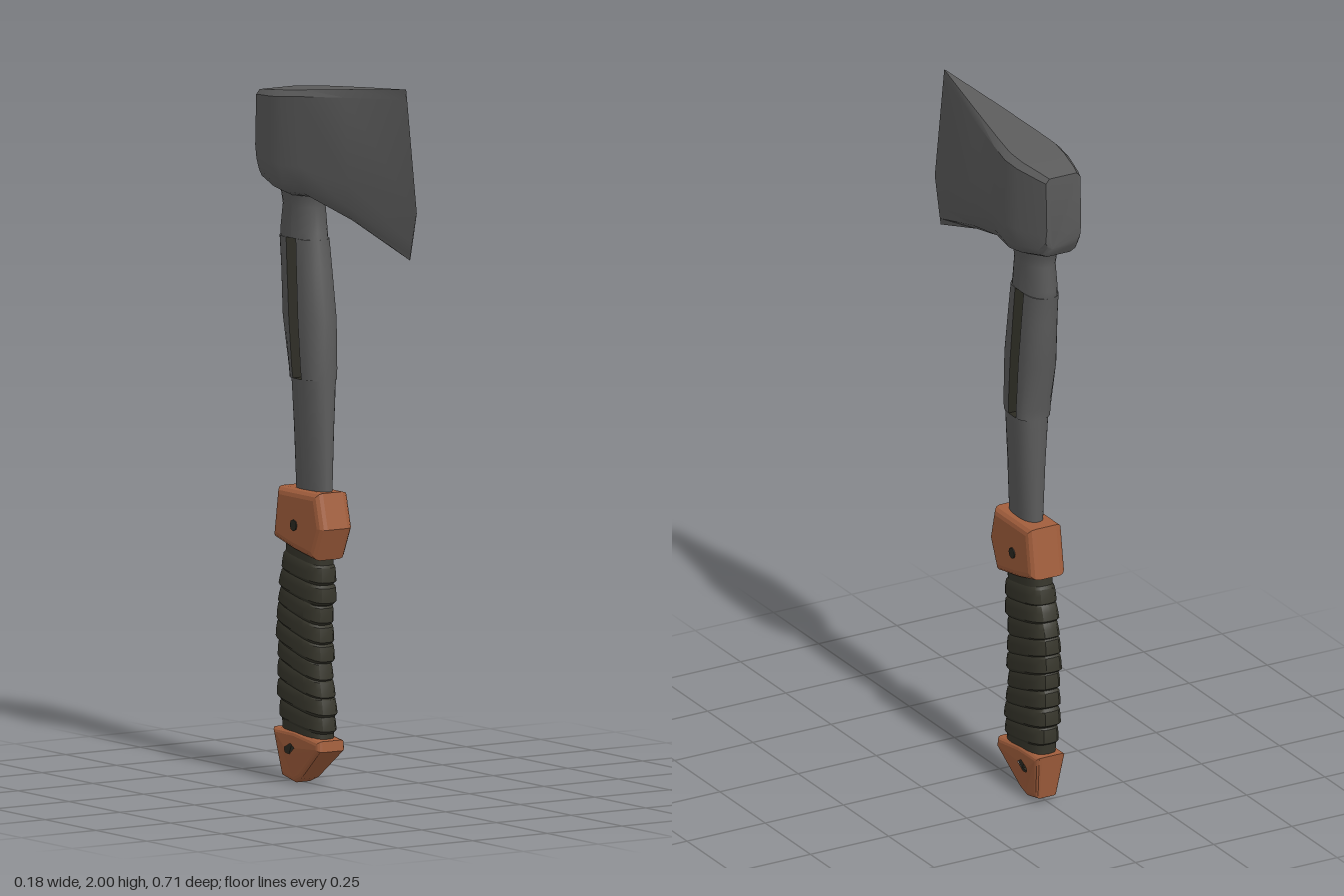
import * as THREE from 'three';
import { toCreasedNormals } from 'three/addons/utils/BufferGeometryUtils.js';

const mat = (name, color, side = THREE.FrontSide) => {
  const m = new THREE.MeshStandardMaterial({ color, side });
  m.name = name;
  return m;
};

// Piecewise-linear lookup in rows [key, a, b, ...]
function sample(rows, k) {
  let i = 0;
  while (i < rows.length - 2 && k > rows[i + 1][0]) i++;
  const [p, q] = [rows[i], rows[i + 1]];
  const t = THREE.MathUtils.clamp((k - p[0]) / (q[0] - p[0]), 0, 1);
  return p.slice(1).map((v, j) => v + (q[j + 1] - v) * t);
}

// Skin through cross-sections; closed rings may be capped
function loft(rings, { closed = true, caps = true, crease = 0.7 } = {}) {
  const n = rings[0].length, pos = [], idx = [];
  rings.forEach(r => r.forEach(p => pos.push(...p)));
  for (let i = 0; i < rings.length - 1; i++) {
    for (let j = 0; j < (closed ? n : n - 1); j++) {
      const a = i * n + j, b = i * n + (j + 1) % n;
      idx.push(a, b, b + n, a, b + n, a + n);
    }
  }
  if (closed && caps) {
    const last = (rings.length - 1) * n;
    for (let j = 1; j < n - 1; j++) idx.push(0, j + 1, j, last, last + j, last + j + 1);
  }
  const g = new THREE.BufferGeometry();
  g.setAttribute('position', new THREE.Float32BufferAttribute(pos, 3));
  g.setIndex(idx);
  return toCreasedNormals(g, crease);
}

// Side outline in (z, y), extruded across x with a soft bevel
function slab(outline, half, bevel, hole) {
  const toShape = pts => pts.map(([z, y]) => new THREE.Vector2(-z, y));
  const s = new THREE.Shape(toShape(outline));
  if (hole) s.holes.push(new THREE.Path(toShape(hole)));
  const g = new THREE.ExtrudeGeometry(s, {
    depth: 2 * (half - bevel), bevelEnabled: bevel > 0, bevelSize: bevel,
    bevelThickness: bevel, bevelOffset: -bevel, bevelSegments: 3,
  });
  g.translate(0, 0, bevel - half).rotateY(Math.PI / 2);
  return g;
}

export function createModel() {
  const group = new THREE.Group();
  const steel = mat('steel', 0x5c5c5c);
  const brown = mat('brown', 0xa35f3d);
  const wrap = mat('dark wrap', 0x36352b);
  const dark = mat('dark lining', 0x2b2a22, THREE.DoubleSide);
  const add = (name, g, m) => {
    const mesh = new THREE.Mesh(g, m);
    mesh.name = name;
    group.add(mesh);
    return mesh;
  };

  // Axe head: sections from poll to cutting edge
  // [z bottom, z middle, z top, y bottom, y top, half width]
  const headRows = [
    [-0.345, -0.355, -0.35, 1.71, 1.926, 0.055],
    [-0.325, -0.325, -0.325, 1.68, 1.931, 0.063],
    [-0.24, -0.24, -0.24, 1.66, 1.94, 0.083],
    [-0.18, -0.18, -0.18, 1.652, 1.947, 0.088],
    [-0.1, -0.1, -0.1, 1.655, 1.956, 0.076],
    [0.08, 0.09, 0.07, 1.61, 1.975, 0.046],
    [0.325, 0.357, 0.305, 1.525, 2.0, 0.001],
  ];
  const headSide = [[0.58, 0], [0.85, 0.035], [1, 0.11], [1, 0.284], [1, 0.94], [0.8, 1]];
  add('axeHead', loft(headRows.map(([zb, zm, zt, yb, yt, w]) => {
    const half = headSide.map(([f, v]) => {
      const z = v < 0.284 ? zb + (zm - zb) * v / 0.284 : zm + (zt - zm) * (v - 0.284) / 0.716;
      return [f * w, yb + (yt - yb) * v, z];
    });
    return [...half, ...half.map(([x, y, z]) => [-x, y, z]).reverse()];
  }), { crease: 0.6 }), steel);

  // Shaft: front and rear rails that part around the slot
  // [y, front z, back z, half width]
  const shaftRows = [
    [0.8, -0.07, -0.215, 0.03], [1.0, -0.07, -0.217, 0.041], [1.17, -0.07, -0.222, 0.052],
    [1.31, -0.072, -0.262, 0.053], [1.45, -0.093, -0.272, 0.05], [1.55, -0.108, -0.286, 0.047],
    [1.62, -0.12, -0.272, 0.046], [1.65, -0.112, -0.278, 0.049], [1.7, -0.09, -0.3, 0.058],
  ];
  const slotLow = 1.14, slotHigh = 1.53;
  const slot = y => sample([[slotLow, -0.135, -0.177], [slotHigh, -0.167, -0.214]], y);
  const levels = [[0.8, 0], [1.0, 0], [slotLow, 0], [slotLow, 1], [1.17, 1], [1.31, 1],
    [1.45, 1], [slotHigh, 1], [slotHigh, 0], [1.55, 0], [1.62, 0], [1.65, 0], [1.7, 0]];
  for (const rear of [0, 1]) {
    const rings = levels.map(([y, open]) => {
      const [f, b, w] = sample(shaftRows, y);
      const s = slot(y);
      const inner = open ? s[rear] : (s[0] + s[1]) / 2;
      const outer = rear ? b : f;
      return Array.from({ length: 13 }, (_, k) => {
        const a = (k / 12 - 0.5) * Math.PI * (rear ? -1 : 1);
        const c = Math.pow(Math.max(Math.cos(a), 0), 0.8);
        return [-w * Math.sin(a) * (rear ? -1 : 1) * (rear ? -1 : 1), y, inner + (outer - inner) * c];
      });
    });
    // Run each rail so that its skin faces outwards
    rings.forEach(r => { if ((r[0][0] < 0) !== (rear === 0)) r.reverse(); });
    add(rear ? 'shaftRearRail' : 'shaftFrontRail', loft(rings, { closed: false }), steel);
  }

  // Lining of the slot: two long walls and two ends
  const liningRings = [];
  for (const [y, rear] of [[1.14, 0], [1.17, 0], [1.31, 0], [1.45, 0], [1.53, 0],
    [1.53, 1], [1.45, 1], [1.31, 1], [1.17, 1], [1.14, 1], [1.14, 0]]) {
    const w = sample(shaftRows, y)[2], z = slot(y)[rear];
    liningRings.push([[-w, y, z], [w, y, z]]);
  }
  add('slotLining', loft(liningRings, { closed: false }), dark);

  // Brown collar above the grip
  add('collar', slab([[-0.055, 0.83], [-0.255, 0.83], [-0.277, 0.685], [-0.18, 0.66],
    [-0.07, 0.64], [-0.03, 0.73]], 0.055, 0.022), brown);

  // Small plain studs on the collar
  for (const s of [1, -1]) {
    const stud = add('collarStud', new THREE.CylinderGeometry(0.016, 0.016, 0.006, 8), dark);
    stud.rotation.z = Math.PI / 2;
    stud.position.set(s * 0.055, 0.73, -0.165);
  }

  // Grip: tilted wrapped bands over a core; [y, centre z, half depth]
  const gripRows = [[0.1, -0.172, 0.11], [0.2, -0.178, 0.112], [0.36, -0.19, 0.107],
    [0.48, -0.188, 0.108], [0.58, -0.172, 0.1], [0.7, -0.165, 0.095]];
  const gripRing = (y, scale, tilt) => Array.from({ length: 20 }, (_, k) => {
    const a = k / 20 * Math.PI * 2;
    const [zc, d] = sample(gripRows, y);
    const pw = v => Math.sign(v) * Math.pow(Math.abs(v), 0.65);
    const u = -pw(Math.sin(a));
    return [0.046 * scale * pw(Math.cos(a)), y - u * tilt, zc + u * d * scale];
  });
  add('gripCore', loft([0.13, 0.25, 0.36, 0.48, 0.58, 0.67].map(y => gripRing(y, 0.88, 0.01))), wrap);
  const bands = 9, pitch = 0.052;
  for (let i = 0; i < bands; i++) {
    const y = 0.17 + i * pitch;
    const tilt = 0.012 + 0.016 * Math.sin((i + 0.5) / bands * Math.PI);
    const swell = 1 + 0.03 * ((i * 2) % 3 - 1);
    add('gripBand', loft([[-0.004, 0.9], [0.004, 1], [0.026, 0.985], [0.044, 0.95], [0.052, 0.87]]
      .map(([dy, s]) => gripRing(y + dy, s * swell, tilt)), { crease: 0.5 }), wrap);
  }

  // Pommel, narrowing towards its lower end, with a lanyard hole
  const hole = [[-0.158, 0.105], [-0.195, 0.132], [-0.24, 0.11], [-0.238, 0.075], [-0.2, 0.07]];
  const pommel = slab([[-0.06, 0.135], [-0.18, 0.152], [-0.288, 0.152], [-0.262, 0.018],
    [-0.2, 0.004], [-0.165, 0.018], [-0.057, 0.105]], 0.046, 0.014, hole);
  const p = pommel.attributes.position;
  for (let i = 0; i < p.count; i++) {
    p.setX(i, p.getX(i) * THREE.MathUtils.clamp(0.66 + p.getY(i) * 3.4, 0.66, 1));
  }
  pommel.computeVertexNormals();
  add('pommel', pommel, brown);

  // Dark eyelet inside the lanyard hole
  add('lanyardEyelet', slab([[-0.155, 0.106], [-0.195, 0.135], [-0.243, 0.112], [-0.241, 0.072],
    [-0.2, 0.067]], 0.036, 0, [[-0.188, 0.085], [-0.2, 0.118], [-0.216, 0.085]]), dark);

  return group;
}
